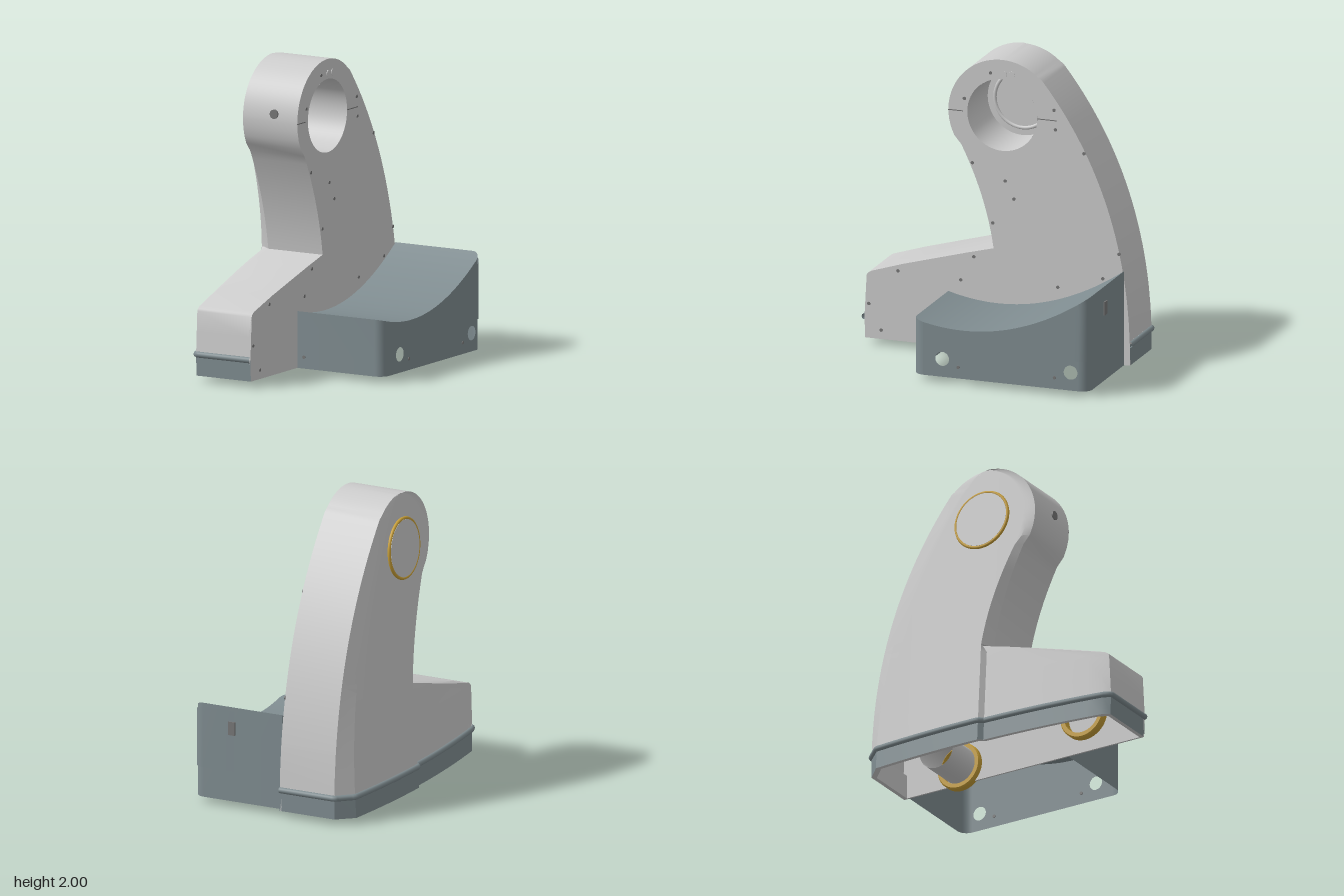
import * as THREE from 'three';
import { toCreasedNormals } from 'three/addons/utils/BufferGeometryUtils.js';

const mat = (color) => new THREE.MeshStandardMaterial({ color, side: THREE.DoubleSide });
const GREY = mat(0xcccccc), SLATE = mat(0x7f8c90), GOLD = mat(0xc9a038), DARK = mat(0x777777);
const { clamp, lerp } = THREE.MathUtils;
const INNER = -0.05, BASE = 0.04, RAIL_Y = 0.18;
const HEAD = { z: -0.03, y: 1.63, r: 0.37 };

// Skin a list of equally long rows of points
function loft(rows, crease = 0.45) {
  const n = rows[0].length, idx = [];
  for (let i = 0; i < rows.length - 1; i++)
    for (let j = 0; j < n - 1; j++) {
      const a = i * n + j, b = a + n;
      idx.push(a, a + 1, b, b, a + 1, b + 1);
    }
  const g = new THREE.BufferGeometry().setFromPoints(rows.flat());
  g.setIndex(idx);
  return toCreasedNormals(g, crease);
}

// Front and back edges of the body at height y
const FOOT = [[0.04, 0.91], [0.18, 0.915], [0.46, 0.9], [0.475, 0.892], [0.49, 0.87], [0.56, 0.65],
  [0.63, 0.4], [0.68, 0.22], [0.73, 0.03]];
const headHalf = (y) => Math.sqrt(Math.max(0, HEAD.r ** 2 - (y - HEAD.y) ** 2));
function frontZ(y) {
  if (y > 1.45) return HEAD.z + headHalf(y);
  if (y > 0.73) { const d = y - 0.73; return 0.03 + 0.14 * d + 0.277 * d * d; }
  const k = Math.max(1, FOOT.findIndex((p) => p[0] >= y - 1e-6));
  const [a, b] = [FOOT[k - 1], FOOT[k]];
  return lerp(a[1], b[1], (y - a[0]) / (b[0] - a[0]));
}
function backZ(y) {
  if (y > 1.9) return HEAD.z - headHalf(y);
  const d = y - 0.1;
  return -0.905 + 0.15 * d * d + 0.012 * d ** 4;
}

// Horizontal section of the body: back edge, bulging outer side with a step at the foot, front edge
function section(y) {
  const zb = backZ(y), zf = frontZ(y), w = zf - zb, pts = [];
  const lo = zb + Math.min(0.1, 0.2 * w), hi = zf - Math.min(0.05, 0.2 * w);
  const m1 = clamp(-0.02, lo, hi), m2 = clamp(0.01, lo, hi);
  const add = (x, z) => pts.push(new THREE.Vector3(-x, y, z));
  const side = (z, step) => add(0.59 - 0.068 * y - 0.04 * ((z + 0.15) / 0.75) ** 2 - step, z);
  add(-INNER, zb);
  add(0.45, zb);
  for (let i = 0; i <= 8; i++) side(lerp(lo, m1, i / 8), 0);
  for (let i = 0; i <= 8; i++) side(lerp(m2, hi, i / 8), y < 0.732 ? 0.025 : 0);
  add(0.46, zf);
  add(-INNER, zf);
  return pts;
}

const bodyYs = [RAIL_Y, 0.32, ...FOOT.slice(2).map((p) => p[0]), 0.735];
for (let i = 1; i <= 16; i++) bodyYs.push(lerp(0.735, HEAD.y, i / 16));
for (let i = 1; i <= 24; i++) bodyYs.push(HEAD.y + HEAD.r * Math.sin((i / 24) * Math.PI / 2));

// Shape drawn in (z, y), laid into the side plane
function sideShape(zy, holes = []) {
  const s = new THREE.Shape(zy.map(([z, y]) => new THREE.Vector2(-z, y)));
  for (const [z, y, r] of holes) s.holes.push(new THREE.Path().absarc(-z, y, r, 0, Math.PI * 2, true));
  return s;
}

// Dark box: rounded plan and dished top
const BOX = { x: 0.6, front: 0.34, back: -0.865, r: 0.07 };
const boxTop = (z) => 0.364 + 0.41 * z * z;
function boxCorner(zEnd, dir, out = 0) {
  const pts = [];
  for (let i = 0; i <= 8; i++) {
    const a = (i / 8) * Math.PI / 2, r = BOX.r + out;
    pts.push([BOX.x - BOX.r + r * Math.sin(a), zEnd + dir * (r * Math.cos(a) - BOX.r)]);
  }
  return pts;
}
const wallRows = (path, y0, drop) => [
  path.map(([x, z]) => new THREE.Vector3(x, y0, z)),
  path.map(([x, z]) => new THREE.Vector3(x, boxTop(z) - drop, z)),
];

export function createModel() {
  const model = new THREE.Group();
  const add = (name, geo, material, x = 0, y = 0, z = 0) => {
    const m = new THREE.Mesh(geo, material);
    m.name = name;
    m.position.set(x, y, z);
    model.add(m);
    return m;
  };
  // Cylinder lying along x
  const disc = (name, material, r, len, x, y, z, open = false) =>
    add(name, new THREE.CylinderGeometry(r, r, len, r > 0.1 ? 64 : 16, 1, open).rotateZ(Math.PI / 2), material, x, y, z);

  // Body shell, skirt and inner lip
  add('bodyShell', loft(bodyYs.map(section)), GREY);
  add('skirt', loft([BASE, RAIL_Y].map(section)), SLATE);
  const inset = (y) => section(BASE).map((p) => new THREE.Vector3((p.x - INNER) * 0.95 + INNER, y, p.z * 0.97));
  add('baseLip', loft([section(BASE), inset(BASE), inset(0.2), section(0.2)]), GREY);

  // Bumper rail round the skirt
  const rail = new THREE.CurvePath();
  const rp = section(RAIL_Y);
  for (let i = 0; i < rp.length - 1; i++) rail.add(new THREE.LineCurve3(rp[i], rp[i + 1]));
  add('bumperRail', new THREE.TubeGeometry(new THREE.CatmullRomCurve3(rail.getSpacedPoints(120)), 200, 0.02, 10), SLATE);

  // Flat inner wall with the round opening
  const ys = [BASE, ...bodyYs];
  const outline = [...ys.map((y) => [frontZ(y), y]), ...ys.slice(0, -1).reverse().map((y) => [backZ(y), y])];
  add('innerWall', new THREE.ExtrudeGeometry(sideShape(outline, [[HEAD.z, HEAD.y, 0.24]]),
    { depth: 0.012, bevelEnabled: false, curveSegments: 48 }).rotateY(Math.PI / 2), GREY, INNER - 0.012);
  disc('openingTube', GREY, 0.24, 0.38, -0.24, HEAD.y, HEAD.z, true);
  disc('openingEnd', GREY, 0.24, 0.01, -0.43, HEAD.y, HEAD.z);
  add('openingRing', new THREE.TorusGeometry(0.19, 0.012, 8, 64).rotateY(Math.PI / 2), GREY, -0.425, HEAD.y, HEAD.z);

  // Cap with gold ring on the outer side, leaning with the surface
  const cap = disc('outerCap', GREY, 0.188, 0.03, -0.483, 1.64, -0.045);
  const ring = add('outerCapRing', new THREE.TorusGeometry(0.195, 0.011, 8, 64).rotateY(Math.PI / 2), GOLD, -0.488, 1.64, -0.045);
  cap.rotation.z = ring.rotation.z = -0.068;

  // Seams beside the opening
  for (const [z, len] of [[0.29, 0.1], [-0.335, 0.13]])
    add('seam', new THREE.BoxGeometry(0.004, 0.006, len), DARK, INNER, HEAD.y, z);

  // Screws and indicators on the inner wall
  const screws = [[0.05, 1.905], [0.23, 1.715], [-0.385, 1.7], [-0.395, 1.57], [-0.59, 1.43], [0.175, 1.29],
    [-0.05, 1.19], [-0.11, 1.075], [0.035, 0.9], [0.165, 0.66], [0.685, 0.51], [0.255, 0.495], [-0.41, 0.515],
    [-0.72, 0.605], [-0.83, 0.78], [0.885, 0.27], [0.8, 0.1]];
  for (const [z, y] of screws) disc('screw', DARK, 0.011, 0.008, INNER, y, z);
  for (const z of [-0.04, -0.095]) disc('indicator', GREY, 0.023, 0.01, INNER, 1.905, z);
  add('frontBolt', new THREE.CylinderGeometry(0.03, 0.03, 0.02, 24).rotateX(Math.PI / 2), DARK, -0.225, 1.68, 0.336);

  // Box walls
  const frontPath = [[INNER, BOX.front], ...boxCorner(BOX.front, 1)];
  const backPath = [[INNER, BOX.back], ...boxCorner(BOX.back, -1)];
  add('boxFrontWall', loft(wallRows(frontPath, BASE, 0)), SLATE);
  add('boxBackWall', loft(wallRows(backPath, BASE, 0)), SLATE);
  const z0 = BOX.front - BOX.r, z1 = BOX.back + BOX.r, sideTop = [];
  for (let i = 0; i <= 24; i++) { const z = lerp(z0, z1, i / 24); sideTop.push([z, boxTop(z)]); }
  add('boxSideWall', new THREE.ShapeGeometry(sideShape([...sideTop, [z1, BASE], [z0, BASE]],
    [[0.14, 0.16, 0.047], [-0.74, 0.16, 0.047]]), 24).rotateY(Math.PI / 2), SLATE, BOX.x);

  // Box top follows the rounded plan
  const edge = [...frontPath.slice(1), ...sideTop.slice(1, -1).map(([z]) => [BOX.x, z]), ...backPath.slice(1).reverse()];
  add('boxTop', loft(edge.map(([x, z]) => [new THREE.Vector3(INNER, boxTop(z), z), new THREE.Vector3(x, boxTop(z), z)])), SLATE);

  // Door wrapped round the back corner, with its latch
  const doorPath = [[0.3, BOX.back - 0.006], ...boxCorner(BOX.back, -1, 0.006)];
  for (let i = 1; i <= 10; i++) doorPath.push([BOX.x + 0.006, lerp(z1, -0.46, i / 10)]);
  add('door', loft(wallRows(doorPath, 0.24, 0.03)), SLATE);
  add('doorLatch', new THREE.BoxGeometry(0.05, 0.09, 0.012), DARK, 0.32, 0.53, BOX.back - 0.008);
  for (const z of [0.03, -0.63]) disc('boxScrew', DARK, 0.011, 0.008, BOX.x, 0.115, z);
  add('boxFrontScrew', new THREE.CylinderGeometry(0.011, 0.011, 0.008, 16).rotateX(Math.PI / 2), DARK, 0, 0.115, BOX.front);

  // Gold wheel rings and the rear hub below
  const band = (r) => new THREE.LatheGeometry([[r - 0.035, -0.03], [r - 0.008, -0.03], [r, -0.02], [r, 0.02],
    [r - 0.008, 0.03], [r - 0.035, 0.03], [r - 0.035, -0.03]].map((p) => new THREE.Vector2(...p)), 48).rotateZ(Math.PI / 2);
  add('frontWheelRing', toCreasedNormals(band(0.165), 0.5), GOLD, -0.285, 0.177, 0.6);
  add('rearWheelRing', toCreasedNormals(band(0.16), 0.5), GOLD, -0.065, 0.16, -0.47);
  disc('rearHub', GREY, 0.125, 0.28, -0.22, 0.165, -0.47, true);
  return model;
}
